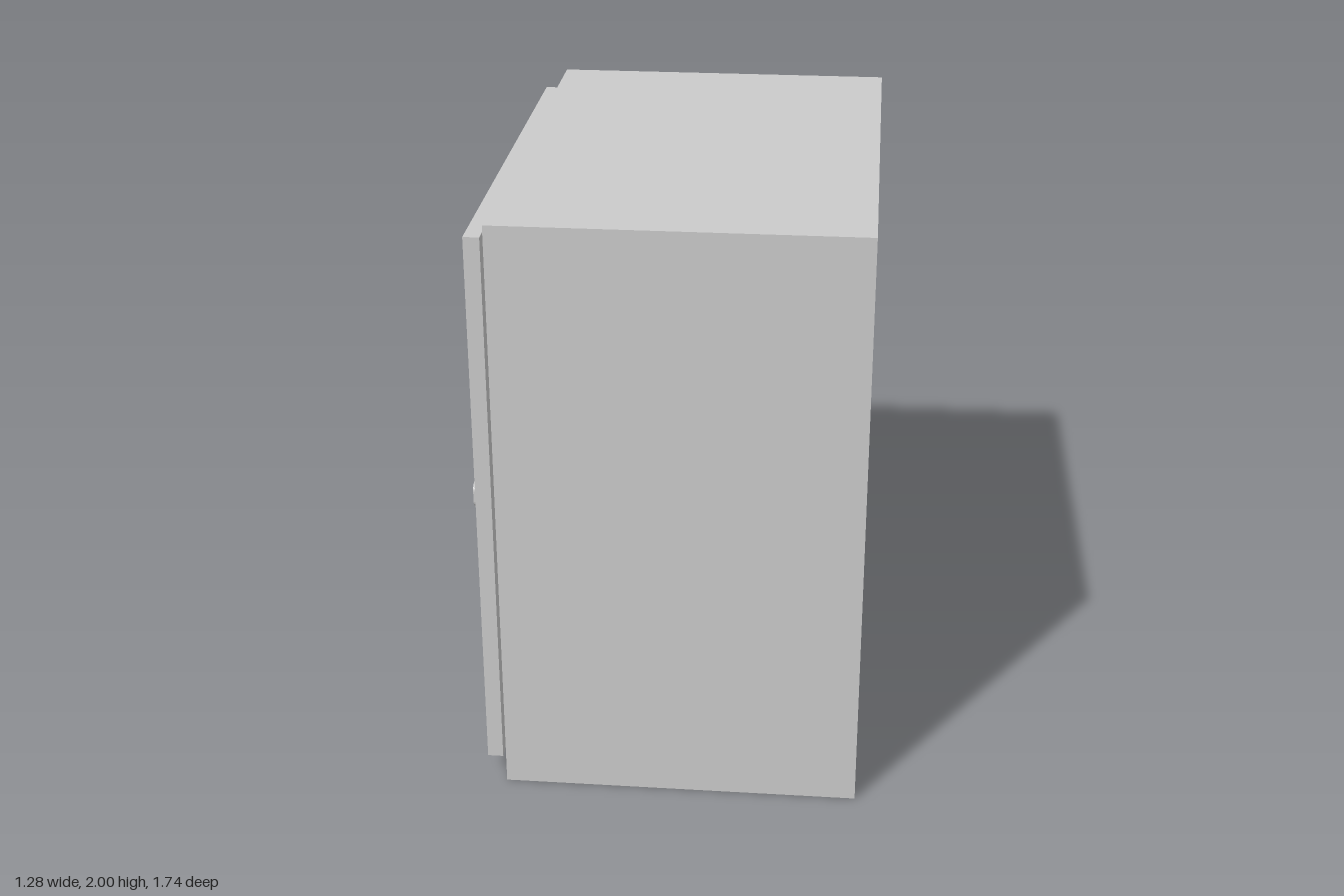
import * as THREE from 'three';

const material = new THREE.MeshStandardMaterial({ color: 0xcccccc });

function add(parent, name, geometry, x, y, z) {
  const mesh = new THREE.Mesh(geometry, material);
  mesh.name = name;
  mesh.position.set(x, y, z);
  parent.add(mesh);
  return mesh;
}

// Upright stadium outline, used for the lock barrel and its key slot
function stadium(Type, radius, halfHeight) {
  const s = new Type();
  const c = halfHeight - radius;
  s.absarc(0, c, radius, 0, Math.PI, false);
  s.absarc(0, -c, radius, Math.PI, Math.PI * 2, false);
  s.closePath();
  return s;
}

// Three rounded knuckles on a thinner pin
function makeHinge(y) {
  const hinge = new THREE.Group();
  hinge.name = 'hinge';
  hinge.position.set(-0.55, y, -0.802);
  for (const dy of [-0.102, 0, 0.102]) {
    add(hinge, 'hingeKnuckle', new THREE.CylinderGeometry(0.043, 0.043, 0.084, 32), 0, dy, 0);
  }
  add(hinge, 'hingePin', new THREE.CylinderGeometry(0.03, 0.03, 0.28, 24), 0, 0, 0);
  return hinge;
}

// Round plate with a raised, slotted barrel; built facing +z
function makeLock() {
  const lock = new THREE.Group();
  lock.name = 'lock';
  const plate = add(lock, 'lockPlate', new THREE.CylinderGeometry(0.077, 0.077, 0.008, 40), 0, 0, 0.003);
  plate.rotation.x = Math.PI / 2;
  const outline = stadium(THREE.Shape, 0.026, 0.043);
  outline.holes.push(stadium(THREE.Path, 0.009, 0.026));
  const barrel = new THREE.ExtrudeGeometry(outline, { depth: 0.02, bevelEnabled: false, curveSegments: 16 });
  add(lock, 'lockBarrel', barrel, 0, 0, 0.005);
  lock.position.set(-0.613, 1.02, 0.725);
  lock.rotation.y = -Math.PI / 2;
  return lock;
}

export function createModel() {
  const cabinet = new THREE.Group();
  cabinet.name = 'cabinet';

  // Body and the door standing just off its side
  add(cabinet, 'body', new THREE.BoxGeometry(1.182, 2, 1.74), 0.046, 1, 0);
  add(cabinet, 'door', new THREE.BoxGeometry(0.052, 1.875, 1.64), -0.587, 1.0125, 0.02);

  for (const y of [0.493, 1.453]) cabinet.add(makeHinge(y));
  cabinet.add(makeLock());
  return cabinet;
}
